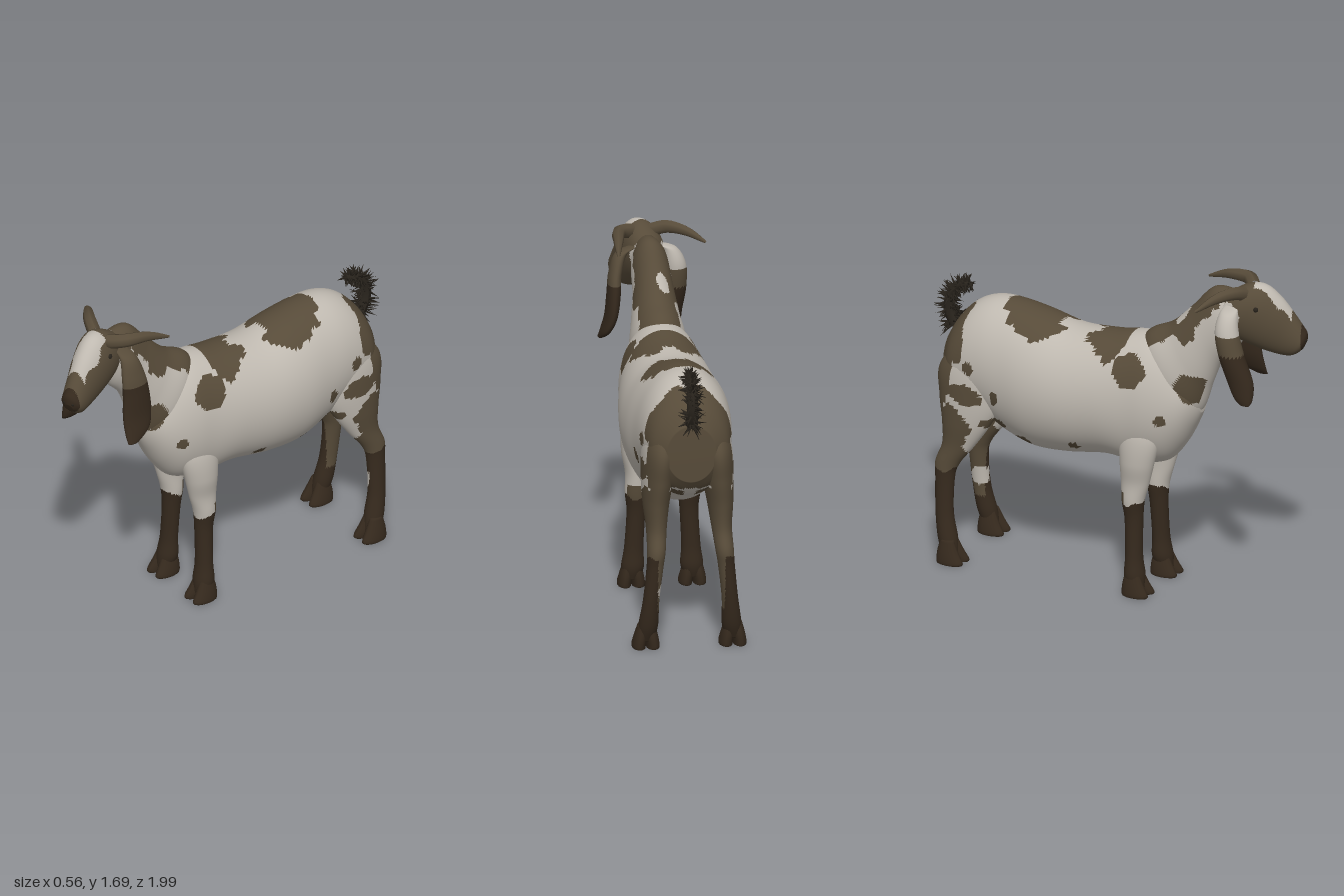
import * as THREE from 'three';
import { mergeGeometries } from 'three/addons/utils/BufferGeometryUtils.js';

const paint = (name, color) => Object.assign(new THREE.MeshStandardMaterial({ color }), { name });

// Cubic blend between rows of numbers
function blend(rows, i, t) {
  const at = k => rows[Math.min(Math.max(k, 0), rows.length - 1)];
  const [a, b, c, d] = [at(i - 1), at(i), at(i + 1), at(i + 2)];
  return b.map((v, k) => v + 0.5 * t * (c[k] - a[k]
    + t * (2 * a[k] - 5 * v + 4 * c[k] - d[k] + t * (3 * (v - c[k]) + d[k] - a[k]))));
}

// Skin through oval sections [x, y, z, half width, half depth, tilt];
// colourOf(x, y, z) gives the material number of each face
function loft(rows, sides, steps, colourOf, materials, name) {
  const rings = [];
  for (let i = 0; i < rows.length - 1; i++)
    for (let s = 0; s < steps; s++) rings.push(blend(rows, i, s / steps));
  rings.push(rows[rows.length - 1]);
  const pos = [];
  for (const [x, y, z, w, h, t] of rings)
    for (let j = 0; j < sides; j++) {
      const a = j / sides * Math.PI * 2, d = Math.sin(a) * h;
      pos.push(x + Math.cos(a) * w, y + d * Math.cos(t), z + d * Math.sin(t));
    }
  const first = rings[0], last = rings[rings.length - 1], end = rings.length * sides;
  pos.push(...first.slice(0, 3), ...last.slice(0, 3));
  const mid = rings[rings.length >> 1];
  const flip = (last[2] - first[2]) * Math.cos(mid[5]) - (last[1] - first[1]) * Math.sin(mid[5]) < 0;
  const buckets = materials.map(() => []);
  const face = (a, b, c) => {
    const m = [0, 1, 2].map(k => (pos[a * 3 + k] + pos[b * 3 + k] + pos[c * 3 + k]) / 3);
    buckets[colourOf(...m)].push(...(flip ? [a, c, b] : [a, b, c]));
  };
  for (let j = 0; j < sides; j++) {
    const k = (j + 1) % sides, top = end - sides;
    face(end, k, j);
    face(end + 1, top + j, top + k);
    for (let i = 0; i < rings.length - 1; i++) {
      const p = i * sides, q = p + sides;
      face(p + j, p + k, q + k);
      face(p + j, q + k, q + j);
    }
  }
  const geo = new THREE.BufferGeometry();
  geo.setAttribute('position', new THREE.Float32BufferAttribute(pos, 3));
  geo.setIndex(buckets.flat());
  let start = 0;
  buckets.forEach((b, m) => { if (b.length) geo.addGroup(start, b.length, m); start += b.length; });
  geo.computeVertexNormals();
  const mesh = new THREE.Mesh(geo, materials);
  mesh.name = name;
  return mesh;
}

// Tube that narrows from r0 to r1
function taper(points, r0, r1, sides) {
  const curve = new THREE.CatmullRomCurve3(points.map(p => new THREE.Vector3(...p)));
  const n = 14, geo = new THREE.TubeGeometry(curve, n, 1, sides), p = geo.attributes.position;
  for (let i = 0; i < p.count; i++) {
    const u = Math.floor(i / (sides + 1)) / n, c = curve.getPointAt(u);
    const v = new THREE.Vector3().fromBufferAttribute(p, i).sub(c).multiplyScalar(r0 + (r1 - r0) * u * u).add(c);
    p.setXYZ(i, v.x, v.y, v.z);
  }
  geo.computeVertexNormals();
  return geo;
}

export function createModel() {
  const goat = new THREE.Group();
  goat.name = 'goat';
  const coat = paint('pale coat', 0xbfb9b0), patch = paint('brown patch', 0x574b39);
  const dark = paint('dark brown', 0x35291d), hair = paint('tail hair', 0x28231c);
  const hide = [coat, patch, dark];
  const add = (geo, mat, name, parent = goat) => {
    const m = new THREE.Mesh(geo, mat);
    m.name = name;
    parent.add(m);
    return m;
  };
  const wobble = (a, b) => 0.2 * Math.sin(a * 31 + 2 * b) + 0.2 * Math.sin(b * 37 + a * 9) + 0.12 * Math.sin((a + b) * 63);
  const inSpot = (a, b, [ca, cb, ra, rb]) => ((a - ca) / ra) ** 2 + ((b - cb) / rb) ** 2 < 1 + wobble(a, b);

  // Spots on the flanks [z, y, radii] and over the back [z, x, radii]
  const flank = [[0.17, 1.17, 0.09, 0.08], [0.34, 0.94, 0.028, 0.028], [-0.54, 0.91, 0.026, 0.04],
    [-0.13, 0.72, 0.03, 0.022], [-0.43, 0.68, 0.045, 0.03], [-0.56, 0.75, 0.07, 0.03],
    [-0.71, 0.89, 0.08, 0.06], [-0.77, 1.13, 0.05, 0.09], [-0.88, 1.03, 0.09, 0.26], [-0.69, 1.03, 0.03, 0.035],
    [-0.77, 0.7, 0.09, 0.13], [-0.83, 0.54, 0.13, 0.15], [0.48, 1.1, 0.06, 0.1]];
  const back = [[0.02, 0.08, 0.12, 0.085], [0.02, 0, 0.09, 0.06], [-0.39, 0.06, 0.16, 0.11], [-0.82, 0.1, 0.08, 0.13]];
  const bodyColour = (x, y, z) => z < -0.845
    || flank.some(s => Math.abs(x) > 0.03 && inSpot(z, y, s))
    || (y > 1.12 && back.some(s => inSpot(z, Math.abs(x), s))) ? 1 : 0;

  // Trunk, chest to rump
  goat.add(loft([
    [0, 1.04, 0.49, 0.05, 0.08, 0], [0, 1.02, 0.455, 0.105, 0.135, 0], [0, 0.995, 0.4, 0.152, 0.215, 0],
    [0, 0.99, 0.33, 0.186, 0.3, 0], [0, 0.99, 0.25, 0.207, 0.335, 0], [0, 0.982, 0.15, 0.218, 0.342, 0],
    [0, 0.977, 0, 0.242, 0.32, 0], [0, 0.957, -0.2, 0.262, 0.328, 0], [0, 0.973, -0.38, 0.26, 0.352, 0],
    [0, 1.005, -0.52, 0.242, 0.345, 0], [0, 1.035, -0.64, 0.228, 0.315, 0], [0, 1.03, -0.74, 0.212, 0.28, 0],
    [0, 1.01, -0.82, 0.185, 0.22, 0], [0, 1, -0.875, 0.12, 0.14, 0]], 96, 9, bodyColour, hide, 'trunk'));

  // Neck with a brown mane line, a pale fleck and throat spots
  goat.add(loft([
    [0, 1.06, 0.24, 0.09, 0.2, -0.68], [0, 1.15, 0.34, 0.138, 0.237, -0.63], [0, 1.265, 0.435, 0.12, 0.18, -0.63],
    [0, 1.385, 0.52, 0.1, 0.155, -0.53], [0.005, 1.485, 0.615, 0.09, 0.16, -0.42],
    [0.01, 1.52, 0.69, 0.07, 0.12, -0.3]], 64, 14, (x, y, z) => {
    const rise = y - 1.265 - (z - 0.435) * 1.2;
    const mane = rise > 0.085 + 0.1 * wobble(z, y) && Math.abs(x) < 0.1 + 0.05 * wobble(z, x)
      && !inSpot(z, x, [0.4, -0.03, 0.035, 0.03]);
    return mane || (Math.abs(x) > 0.05 && inSpot(z, y, [0.48, 1.11, 0.07, 0.1])) ? 1 : 0;
  }, hide, 'neck'));

  // Head, turned to its left
  const head = new THREE.Group();
  head.name = 'head';
  head.position.set(-0.025, 0, 0.605);
  head.rotation.y = 0.35;
  goat.add(head);
  head.add(loft([
    [0.01, 1.56, 0.01, 0.055, 0.07, 0.45], [0, 1.555, 0.08, 0.088, 0.135, 0.45], [0, 1.53, 0.155, 0.095, 0.158, 0.45],
    [0, 1.48, 0.235, 0.086, 0.145, 0.45], [0, 1.425, 0.31, 0.07, 0.115, 0.45], [0, 1.388, 0.365, 0.06, 0.085, 0.45],
    [0, 1.378, 0.395, 0.05, 0.06, 0.45], [0, 1.372, 0.412, 0.022, 0.025, 0.45]], 64, 10, (x, y, z) => {
    const over = y - 1.54 + (z - 0.16) * 0.6;
    const blaze = over > 0.015 && z > 0.165 && z < 0.35 && Math.abs(x - 0.012) < 0.055 + 0.04 * wobble(z, x);
    return blaze || inSpot(z, y, [0.05, 1.52, 0.045, 0.075]) ? 0 : z > 0.395 ? 2 : 1;
  }, hide, 'skull and muzzle'));
  for (const s of [-1, 1]) {
    const eye = add(new THREE.SphereGeometry(0.013, 12, 8), hair, 'eye', head);
    eye.position.set(s * 0.086, 1.575, 0.18);
    const nostril = add(new THREE.SphereGeometry(0.008, 8, 6), hair, 'nostril', head);
    nostril.position.set(s * 0.024, 1.4, 0.414);
  }

  // Horns sweep out and back
  add(taper([[-0.02, 1.635, 0.73], [-0.09, 1.658, 0.705], [-0.18, 1.648, 0.65], [-0.27, 1.605, 0.59]], 0.034, 0.006, 7), patch, 'rightHorn');
  add(taper([[0.08, 1.635, 0.73], [0.142, 1.65, 0.67], [0.165, 1.64, 0.55], [0.18, 1.6, 0.43]], 0.036, 0.006, 7), patch, 'leftHorn');

  // Long hanging ears
  const T = Math.PI / 2;
  goat.add(loft([
    [-0.04, 1.58, 0.68, 0.02, 0.03, T], [-0.1, 1.555, 0.685, 0.04, 0.045, T], [-0.13, 1.47, 0.69, 0.055, 0.06, T],
    [-0.13, 1.35, 0.715, 0.06, 0.065, T], [-0.125, 1.22, 0.76, 0.05, 0.068, T], [-0.14, 1.14, 0.785, 0.03, 0.05, T],
    [-0.155, 1.11, 0.8, 0.01, 0.025, T]], 20, 8, (x, y) => y > 1.46 ? 0 : y > 1.36 ? 1 : 2, hide, 'rightEar'));
  goat.add(loft([
    [0.07, 1.58, 0.66, 0.02, 0.03, T], [0.14, 1.545, 0.65, 0.03, 0.045, T], [0.17, 1.45, 0.64, 0.032, 0.065, T],
    [0.178, 1.35, 0.63, 0.034, 0.076, T], [0.19, 1.24, 0.632, 0.032, 0.083, T], [0.215, 1.16, 0.65, 0.025, 0.07, T],
    [0.238, 1.115, 0.69, 0.01, 0.03, T]], 20, 8, (x, y) => y > 1.4 ? 1 : 2, hide, 'leftEar'));

  // Legs with cloven hooves
  const foreRows = [[0.11, 0.95, 0.23, 0.04, 0.08], [0.132, 0.82, 0.213, 0.062, 0.105], [0.137, 0.69, 0.2, 0.063, 0.09],
    [0.13, 0.58, 0.187, 0.053, 0.074], [0.13, 0.48, 0.176, 0.055, 0.057], [0.13, 0.38, 0.18, 0.046, 0.046],
    [0.14, 0.2, 0.186, 0.047, 0.043], [0.145, 0.1, 0.192, 0.056, 0.052], [0.15, 0.04, 0.2, 0.04, 0.045]];
  const hindRows = [[0.12, 1.16, -0.67, 0.06, 0.1], [0.135, 1, -0.695, 0.082, 0.185], [0.147, 0.85, -0.705, 0.078, 0.172],
    [0.157, 0.72, -0.73, 0.064, 0.128], [0.16, 0.6, -0.77, 0.05, 0.085], [0.167, 0.5, -0.825, 0.045, 0.064],
    [0.175, 0.42, -0.835, 0.041, 0.05], [0.193, 0.25, -0.828, 0.04, 0.046], [0.204, 0.12, -0.804, 0.048, 0.05],
    [0.213, 0.04, -0.785, 0.04, 0.04]];
  const foreColour = (x, y, z) => y < 0.47 + 0.05 * wobble(x, z) ? 2 : y < 0.53 && z < 0.15 ? 1 : 0;
  const hindColour = (x, y, z) => {
    if (x > 0 && x < 0.19 && inSpot(y, z, [0.31, -0.81, 0.05, 0.05])) return 0;
    if (y < 0.48 + 0.05 * wobble(x, z)) return Math.abs(x) < 0.165 && y > 0.2 ? 1 : 2;
    return Math.abs(x) < 0.15 && y < 0.8 && z < -0.72 ? 1 : bodyColour(x, y, z);
  };
  for (const s of [-1, 1]) {
    const side = s > 0 ? 'left' : 'right';
    for (const [rows, colour, part] of [[foreRows, foreColour, 'FrontLeg'], [hindRows, hindColour, 'BackLeg']]) {
      const leg = rows.map(([x, ...r]) => [s * x, ...r, T]);
      goat.add(loft(leg, 36, 10, colour, hide, side + part));
      const [x, , z] = leg[leg.length - 1];
      for (const k of [-1, 1])
        goat.add(loft([[x + k * 0.022, 0.12, z - 0.008, 0.02, 0.035, T], [x + k * 0.028, 0.06, z, 0.031, 0.056, T],
          [x + k * 0.034, 0.015, z + 0.012, 0.034, 0.07, T], [x + k * 0.034, 0, z + 0.012, 0.033, 0.068, T]],
        14, 4, () => 2, hide, side + part + 'Hoof'));
    }
  }

  // Upturned tail with a bristly tuft
  const path = [[0, 1.15, -0.87], [0, 1.23, -0.905], [0, 1.31, -0.895], [0, 1.365, -0.85], [0, 1.38, -0.785]];
  add(taper(path, 0.03, 0.016, 8), hair, 'tail');
  let seed = 7;
  const rand = () => (seed = (seed * 16807) % 2147483647) / 2147483647;
  const curve = new THREE.CatmullRomCurve3(path.map(p => new THREE.Vector3(...p)));
  const up = new THREE.Vector3(0, 1, 0), bristles = [];
  for (let i = 0; i < 240; i++) {
    const u = rand(), a = rand() * Math.PI * 2, t = curve.getTangentAt(u);
    const len = (0.065 + 0.04 * rand()) * (1 - 0.45 * u);
    const dir = new THREE.Vector3(Math.cos(a) * 0.6, Math.sin(a) * t.z * -1, Math.sin(a) * t.y)
      .addScaledVector(t, 1.2 * (rand() - 0.5)).normalize();
    const c = curve.getPointAt(u);
    bristles.push(new THREE.ConeGeometry(0.01, len, 4).translate(0, len / 2, 0)
      .applyQuaternion(new THREE.Quaternion().setFromUnitVectors(up, dir)).translate(c.x, c.y, c.z));
  }
  add(mergeGeometries(bristles), hair, 'tailTuft');
  return goat;
}
